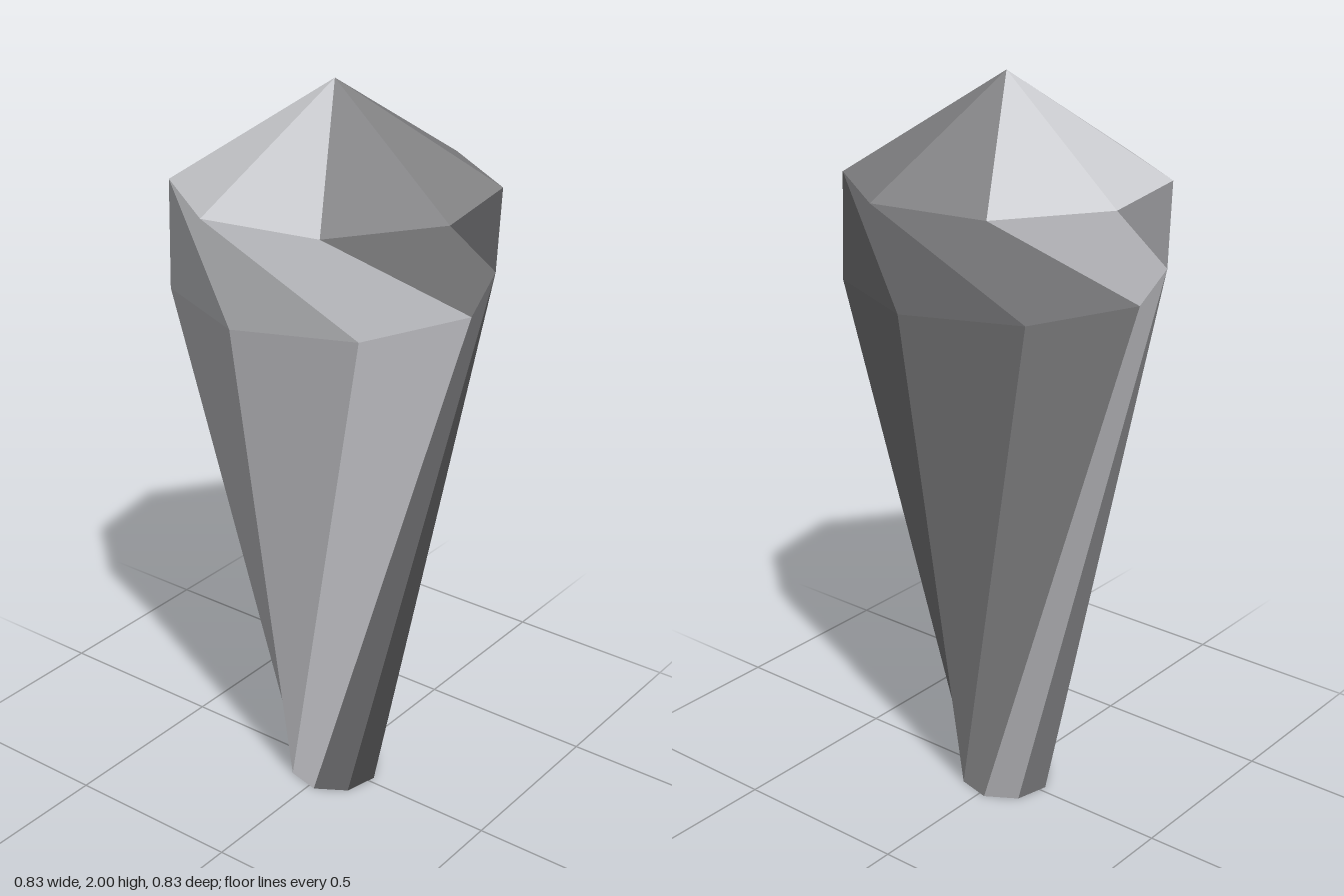
import * as THREE from 'three';

const SIDES = 8;
const lightStone = new THREE.MeshStandardMaterial({ color: 0xcbccd0 });
const darkStone = new THREE.MeshStandardMaterial({ color: 0x828284 });
lightStone.name = 'lightStone';
darkStone.name = 'darkStone';

// corner of an octagonal ring; angle runs from +x towards +z
function corner(ring, i) {
  const a = THREE.MathUtils.degToRad(ring.turn + (i * 360) / SIDES);
  return new THREE.Vector3(ring.r * Math.cos(a), ring.y, ring.r * Math.sin(a));
}

// facets: list of triangle lists, each facet sharing one flat normal
function facetMesh(name, facets, material) {
  const pos = [], nor = [];
  for (const { points, normal } of facets) {
    for (const p of points) {
      pos.push(p.x, p.y, p.z);
      nor.push(normal.x, normal.y, normal.z);
    }
  }
  const g = new THREE.BufferGeometry();
  g.setAttribute('position', new THREE.Float32BufferAttribute(pos, 3));
  g.setAttribute('normal', new THREE.Float32BufferAttribute(nor, 3));
  const m = new THREE.Mesh(g, material);
  m.name = name;
  return m;
}

function triangle(a, b, c) {
  const normal = b.clone().sub(a).cross(c.clone().sub(a)).normalize();
  return { points: [a, b, c], normal };
}

// twisted four-sided facet between two rings, split along its outer ridge
function twistedFacet(low, high, i, splitFromLowRight) {
  const l0 = corner(low, i), l1 = corner(low, i + 1);
  const u0 = corner(high, i), u1 = corner(high, i + 1);
  const normal = u0.clone().sub(l1).cross(u1.clone().sub(l0)).normalize();
  const points = splitFromLowRight
    ? [l1, l0, u1, l0, u0, u1]
    : [l1, l0, u0, l1, u0, u1];
  return { points, normal };
}

export function createModel() {
  const group = new THREE.Group();
  group.name = 'crystal';

  const foot = { y: 0, r: 0.125, turn: 81 };
  const shoulder = { y: 1.48, r: 0.414, turn: 0 };
  const crown = { y: 1.735, r: 0.414, turn: 57.5 };
  const tip = new THREE.Vector3(0, 2, 0);

  // one half of the crystal is dark, the other light
  const halves = [
    { label: 'dark', start: -2, material: darkStone },
    { label: 'light', start: 2, material: lightStone },
  ];
  for (const { label, start, material } of halves) {
    const shaft = [], collar = [], point = [];
    for (let i = start; i < start + SIDES / 2; i++) {
      shaft.push(twistedFacet(foot, shoulder, i, true));
      collar.push(twistedFacet(shoulder, crown, i, false));
      point.push(triangle(corner(crown, i + 1), corner(crown, i), tip));
    }
    group.add(facetMesh(label + 'Shaft', shaft, material));
    group.add(facetMesh(label + 'Collar', collar, material));
    group.add(facetMesh(label + 'Point', point, material));
  }

  // base: fan around an off-centre point, two facets dark
  const a = THREE.MathUtils.degToRad(36);
  const hub = new THREE.Vector3(0.03 * Math.cos(a), 0, 0.03 * Math.sin(a));
  const base = [];
  for (let i = -2; i < SIDES - 2; i++) {
    base.push(triangle(hub, corner(foot, i), corner(foot, i + 1)));
  }
  group.add(facetMesh('darkBase', base.slice(0, 2), darkStone));
  group.add(facetMesh('lightBase', base.slice(2), lightStone));

  return group;
}
